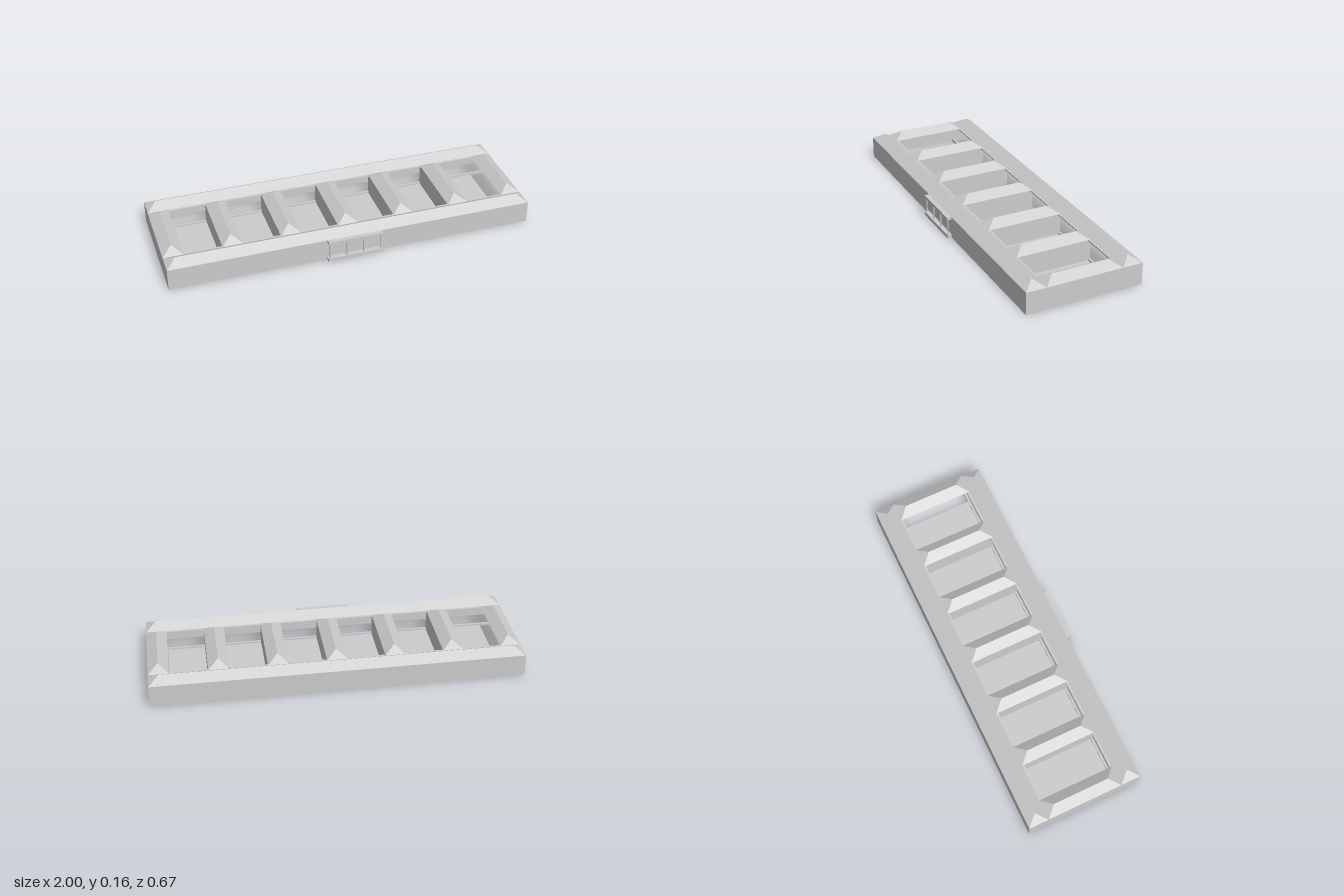
import * as THREE from 'three';

const X = 1, BACK = -0.335, FRONT = 0.31, EAVE = 0.122, RIDGE = 0.157, WING = 0.111;

export function createModel() {
  const model = new THREE.Group();
  const stone = new THREE.MeshStandardMaterial({ color: 0xcccccc });
  stone.name = 'pale grey';

  const add = (name, geometry) => {
    const mesh = new THREE.Mesh(geometry, stone);
    mesh.name = name;
    model.add(mesh);
    return mesh;
  };

  // Box given by its minimum and maximum corners
  const box = (name, x0, x1, y0, y1, z0, z1) =>
    add(name, new THREE.BoxGeometry(x1 - x0, y1 - y0, z1 - z0)
      .translate((x0 + x1) / 2, (y0 + y1) / 2, (z0 + z1) / 2));

  // Closed hipped roof with its ridge along x, flat shaded
  const hipRoof = (length, width) => {
    const l = length / 2, w = width / 2, r = l - w;
    const p = [[-l, 0, w], [l, 0, w], [l, 0, -w], [-l, 0, -w],
      [-r, RIDGE - EAVE, 0], [r, RIDGE - EAVE, 0]];
    const faces = [0, 1, 5, 0, 5, 4, 2, 3, 4, 2, 4, 5, 1, 2, 5, 3, 0, 4, 0, 3, 2, 0, 2, 1];
    const g = new THREE.BufferGeometry();
    g.setAttribute('position', new THREE.Float32BufferAttribute(faces.flatMap((i) => p[i]), 3));
    g.computeVertexNormals();
    return g;
  };

  // Outer walls, open at the bottom
  const t = 0.004;
  box('frontWall', -X, X, 0, EAVE, FRONT - t, FRONT);
  box('backWall', -X, X, 0, EAVE, BACK, BACK + t);
  box('leftWall', X - t, X, 0, EAVE, BACK + t, FRONT - t);
  box('rightWall', -X, -X + t, 0, EAVE, BACK + t, FRONT - t);

  // Long wing roofs
  add('frontWingRoof', hipRoof(2 * X, WING)).position.set(0, EAVE, FRONT - WING / 2);
  add('backWingRoof', hipRoof(2 * X, WING)).position.set(0, EAVE, BACK + WING / 2);

  // Courtyard floor with curbs and eave beams along the wings
  const z0 = BACK + WING, z1 = FRONT - WING, inner = X - WING;
  box('courtyardFloor', -inner, inner, 0.001, 0.005, z0, z1);
  for (const z of [z0, z1 - 0.012]) {
    box('curb', -X + t, X - t, 0, 0.014, z, z + 0.012);
    box('eaveBeam', -X + t, X - t, EAVE - 0.008, EAVE - 0.0005, z, z + 0.012);
  }

  // Seven cross wings; the two at the ends are open towards the courtyard
  for (let i = -3; i <= 3; i++) {
    const x = i * (X - WING / 2) / 3;
    const roof = add('crossWingRoof', hipRoof(z1 - z0, WING));
    roof.rotation.y = Math.PI / 2;
    roof.position.set(x, EAVE, (z0 + z1) / 2);
    if (Math.abs(i) < 3) {
      box('crossWingBody', x - WING / 2, x + WING / 2, 0.003, EAVE - 0.001, z0, z1);
    }
  }

  // Entrance porch: step, lintel and four columns
  box('porchStep', -0.152, 0.152, 0, 0.02, FRONT, 0.335);
  box('porchLintel', -0.15, 0.15, 0.107, EAVE, FRONT, 0.335);
  for (const x of [-0.14, -0.046, 0.046, 0.14]) {
    add('porchColumn', new THREE.CylinderGeometry(0.004, 0.004, 0.087, 10))
      .position.set(x, 0.0635, 0.326);
  }

  return model;
}
